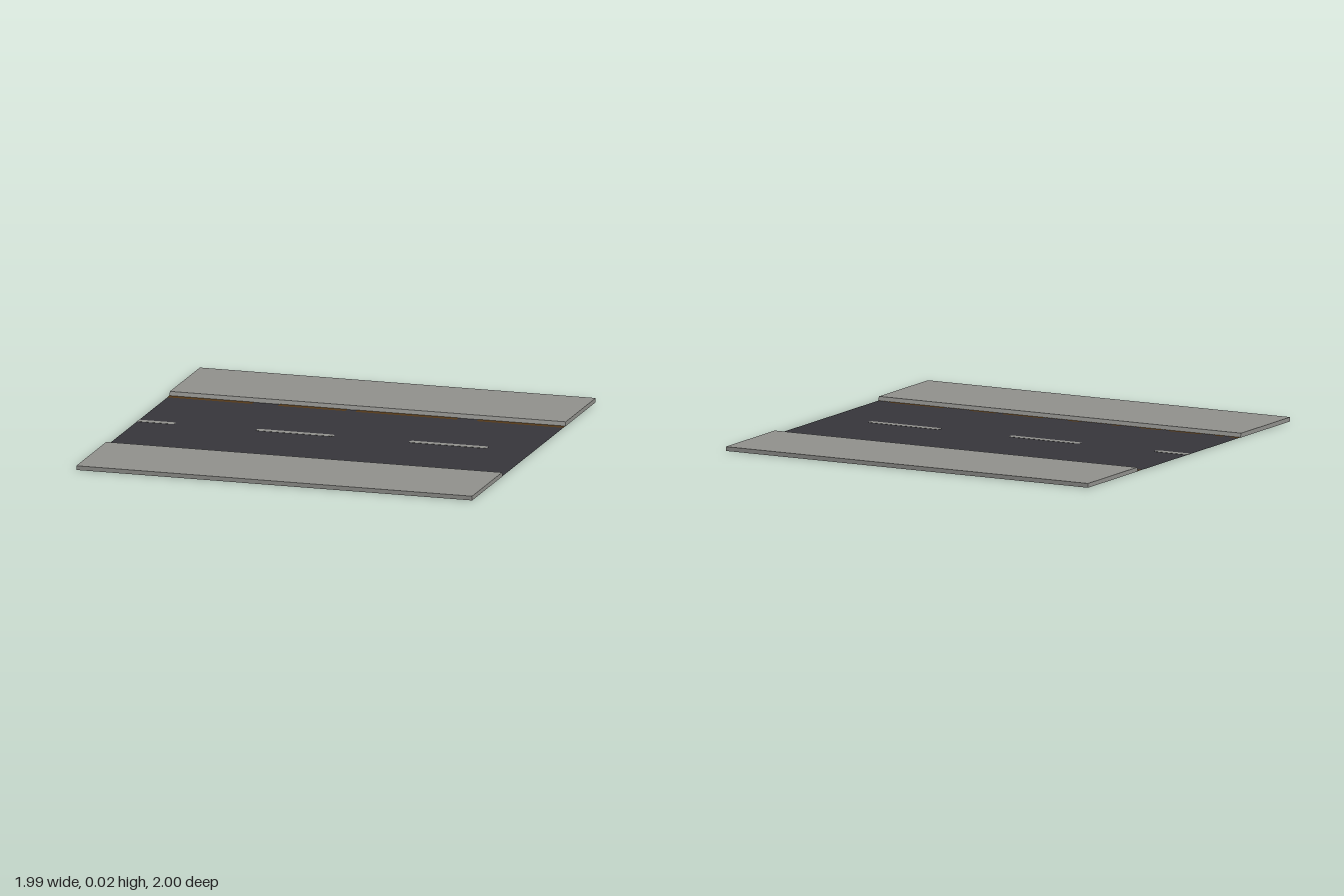
import * as THREE from 'three';

const HALF = 0.997; // half the road length along x
const paint = (name, color) => Object.assign(
  new THREE.MeshStandardMaterial({ color, side: THREE.DoubleSide }), { name });

export function createModel() {
  const group = new THREE.Group();
  const concrete = paint('concrete grey', 0x90908c);
  const asphalt = paint('asphalt', 0x36353b);
  const dirt = paint('gutter brown', 0x533819);

  const add = (name, geometry, material, x = 0, y = 0, z = 0) => {
    const mesh = new THREE.Mesh(geometry, material);
    mesh.name = name;
    mesh.position.set(x, y, z);
    group.add(mesh);
    return mesh;
  };

  // Road surface, a single sheet between the curbs
  add('road', new THREE.PlaneGeometry(2 * HALF, 1.02).rotateX(-Math.PI / 2), asphalt, 0, 0.001, 0);

  // Sidewalk slabs with a slightly sloped curb face
  for (const side of [1, -1]) {
    const profile = new THREE.Shape([[0.506, 0], [1, 0], [1, 0.021], [0.515, 0.021]]
      .map(([z, y]) => new THREE.Vector2(-side * z, y)));
    const slab = new THREE.ExtrudeGeometry(profile, { depth: 2 * HALF, bevelEnabled: false });
    slab.translate(0, 0, -HALF).rotateY(Math.PI / 2);
    add(side > 0 ? 'frontSidewalk' : 'backSidewalk', slab, concrete);
  }

  // Centre line dashes with clipped corners, showing on both faces of the road
  for (const [a, b] of [[-HALF, -0.81], [-0.4, -0.01], [0.37, 0.765]]) {
    const w = 0.018, c = 0.01, start = a === -HALF ? 0 : c;
    const shape = new THREE.Shape([[a, -w + start], [a + start, -w], [b - c, -w], [b, -w + c],
      [b, w - c], [b - c, w], [a + start, w], [a, w - start]].map(p => new THREE.Vector2(...p)));
    const dash = new THREE.ExtrudeGeometry(shape, { depth: 0.002, bevelEnabled: false });
    add('centreDash', dash.rotateX(-Math.PI / 2), concrete);
  }

  // Worn gutter strips along each curb
  const gutter = (name, runs, z0, z1) => {
    for (const [a, b] of runs) {
      const strip = new THREE.PlaneGeometry(b - a, z1 - z0).rotateX(-Math.PI / 2);
      add(name, strip, dirt, (a + b) / 2, 0.002, (z0 + z1) / 2);
    }
  };
  gutter('backGutter', [[-HALF, -0.57], [-0.44, -0.1], [-0.05, 0.46], [0.56, HALF]], -0.508, -0.472);
  gutter('frontGutter', [[-HALF, -0.95], [-0.91, -0.87], [-0.79, -0.61], [-0.57, -0.45], [-0.34, -0.3],
    [-0.12, -0.06], [0.08, 0.3], [0.34, 0.48], [0.63, 0.92]], 0.483, 0.503);
  gutter('frontGutterEdge', [[-HALF, HALF]], 0.503, 0.508);

  return group;
}
